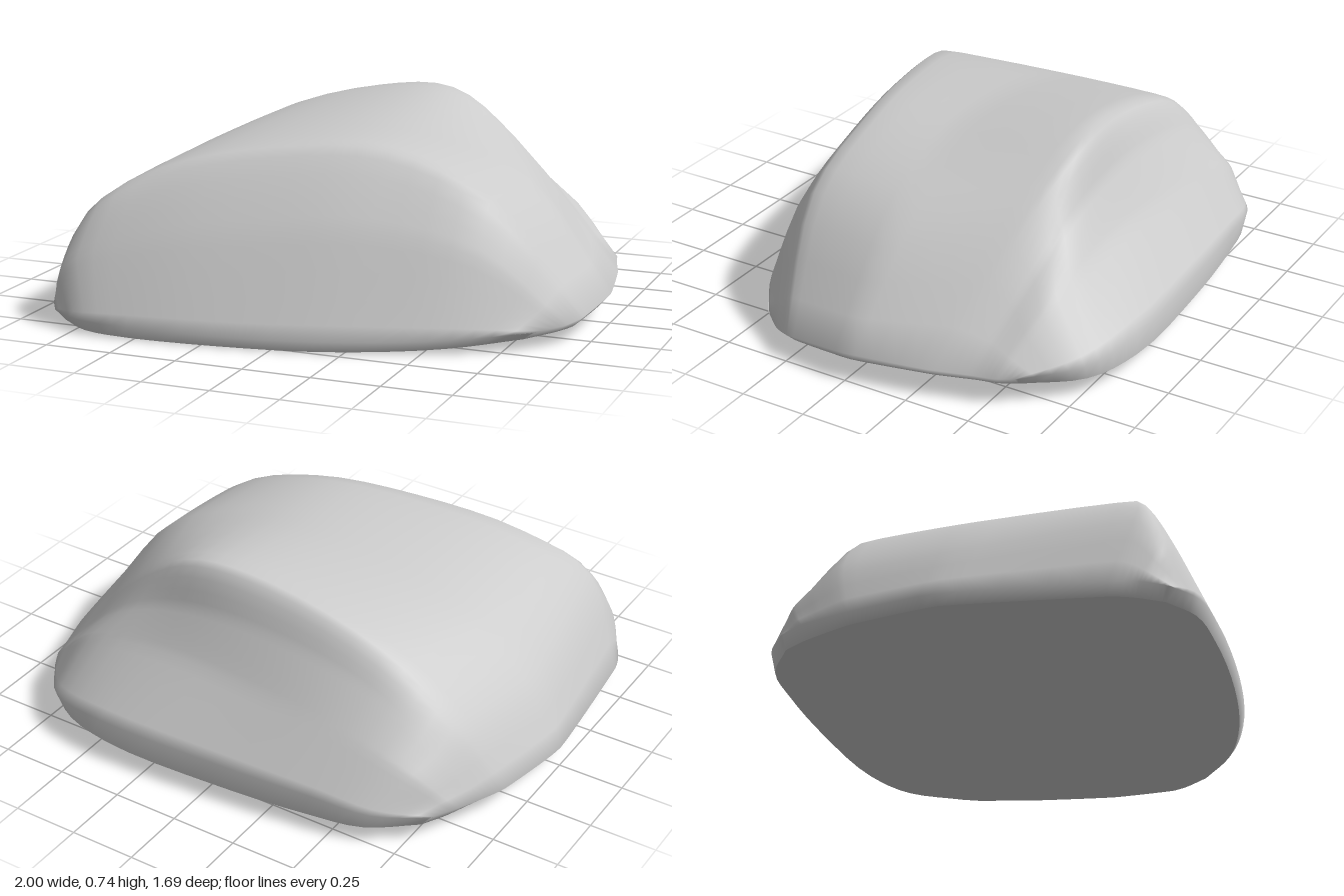
import * as THREE from 'three';

const COLS = 24, ROWS = 35;

// A smooth curve through [x, y, z] points
const curve = (pts) => new THREE.CatmullRomCurve3(pts.map((p) => new THREE.Vector3(...p)));

// Cross-section curves, each running from -x to +x, in order from front to back
const frontFoot = curve([[-.85, .055, .76], [-.73, .05, .83], [-.52, .045, .84], [-.1, .04, .8], [.28, .045, .72], [.6, .055, .6], [.84, .065, .44]]);
const frontFace = curve([[-.9, .06, .68], [-.81, .22, .75], [-.55, .32, .715], [-.1, .38, .63], [.28, .4, .55], [.65, .32, .47], [.93, .075, .34]]);
const frontCrest = curve([[-.935, .06, .58], [-.77, .4, .64], [-.52, .56, .55], [-.12, .645, .44], [.28, .645, .36], [.65, .49, .35], [.975, .09, .26]]);
const middle = curve([[-1, .08, 0], [-.86, .34, .05], [-.6, .55, 0], [-.12, .668, 0], [.28, .66, 0], [.68, .5, -.02], [1, .11, 0]]);
const backCrest = curve([[-.95, .09, -.33], [-.8, .36, -.42], [-.52, .59, -.46], [-.08, .725, -.48], [.22, .732, -.495], [.49, .565, -.44], [.945, .11, -.3]]);
const backHollow = curve([[-.91, .1, -.45], [-.78, .3, -.54], [-.52, .48, -.55], [-.1, .57, -.56], [.25, .56, -.565], [.53, .45, -.55], [.9, .11, -.45]]);
const backSlope = curve([[-.87, .11, -.55], [-.74, .25, -.64], [-.48, .34, -.66], [-.1, .39, -.66], [.3, .4, -.65], [.63, .33, -.63], [.88, .11, -.53]]);
const backFoot = curve([[-.82, .11, -.64], [-.65, .13, -.76], [-.43, .15, -.8], [-.05, .16, -.835], [.44, .16, -.845], [.69, .135, -.775], [.84, .11, -.6]]);
const sections = [frontFoot, frontFace, frontCrest, middle, backCrest, backHollow, backSlope, backFoot];

function makeMesh(points, index, name) {
  const geometry = new THREE.BufferGeometry().setFromPoints(points);
  geometry.setIndex(index);
  geometry.computeVertexNormals();
  const mesh = new THREE.Mesh(geometry, new THREE.MeshStandardMaterial({ color: 0xcccccc }));
  mesh.name = name;
  return mesh;
}

export function createModel() {
  const group = new THREE.Group();
  group.name = 'rock';
  const points = [], index = [];
  const at = (j, i) => j * (COLS + 1) + i;

  // Upper surface: blend the cross-sections from front to back, tight enough to keep the crests firm
  const columns = [];
  for (let i = 0; i <= COLS; i++) {
    const spine = sections.map((s) => s.getPoint(i / COLS));
    columns.push(new THREE.CatmullRomCurve3(spine, false, 'catmullrom', 0.2));
  }
  for (let j = 0; j <= ROWS; j++) for (const c of columns) points.push(c.getPoint(j / ROWS));
  for (let j = 0; j < ROWS; j++) {
    for (let i = 0; i < COLS; i++) {
      const a = at(j, i), b = at(j, i + 1), c = at(j + 1, i), d = at(j + 1, i + 1);
      index.push(a, b, d, a, d, c);
    }
  }

  // Rim around the upper surface, anticlockwise from above
  const rim = [];
  for (let i = 0; i < COLS; i++) rim.push(at(0, i));
  for (let j = 0; j < ROWS; j++) rim.push(at(j, COLS));
  for (let i = COLS; i > 0; i--) rim.push(at(ROWS, i));
  for (let j = ROWS; j > 0; j--) rim.push(at(j, 0));

  // Narrow undercut from the rim to the tilted, slightly dished base
  const n = rim.length, start = points.length;
  const base = rim.map((r) => {
    const { x, z } = points[r];
    const tilt = z > 0 ? 0.045 : 0.03;
    const y = Math.max(0, 0.034 - tilt * z + 0.025 * x * x + 0.005 * x);
    return new THREE.Vector3(x * 0.96, y, z * (z > 0 ? 0.975 : 0.992));
  });
  points.push(...base);
  for (let k = 0; k < n; k++) {
    const m = (k + 1) % n;
    index.push(start + k, start + m, rim[m], start + k, rim[m], rim[k]);
  }
  group.add(makeMesh(points, index, 'rockBody'));

  // Underside
  const capIndex = [];
  for (let k = 0; k < n; k++) capIndex.push(k, n, (k + 1) % n);
  group.add(makeMesh([...base, new THREE.Vector3(0, 0.034, 0)], capIndex, 'rockUnderside'));
  return group;
}
